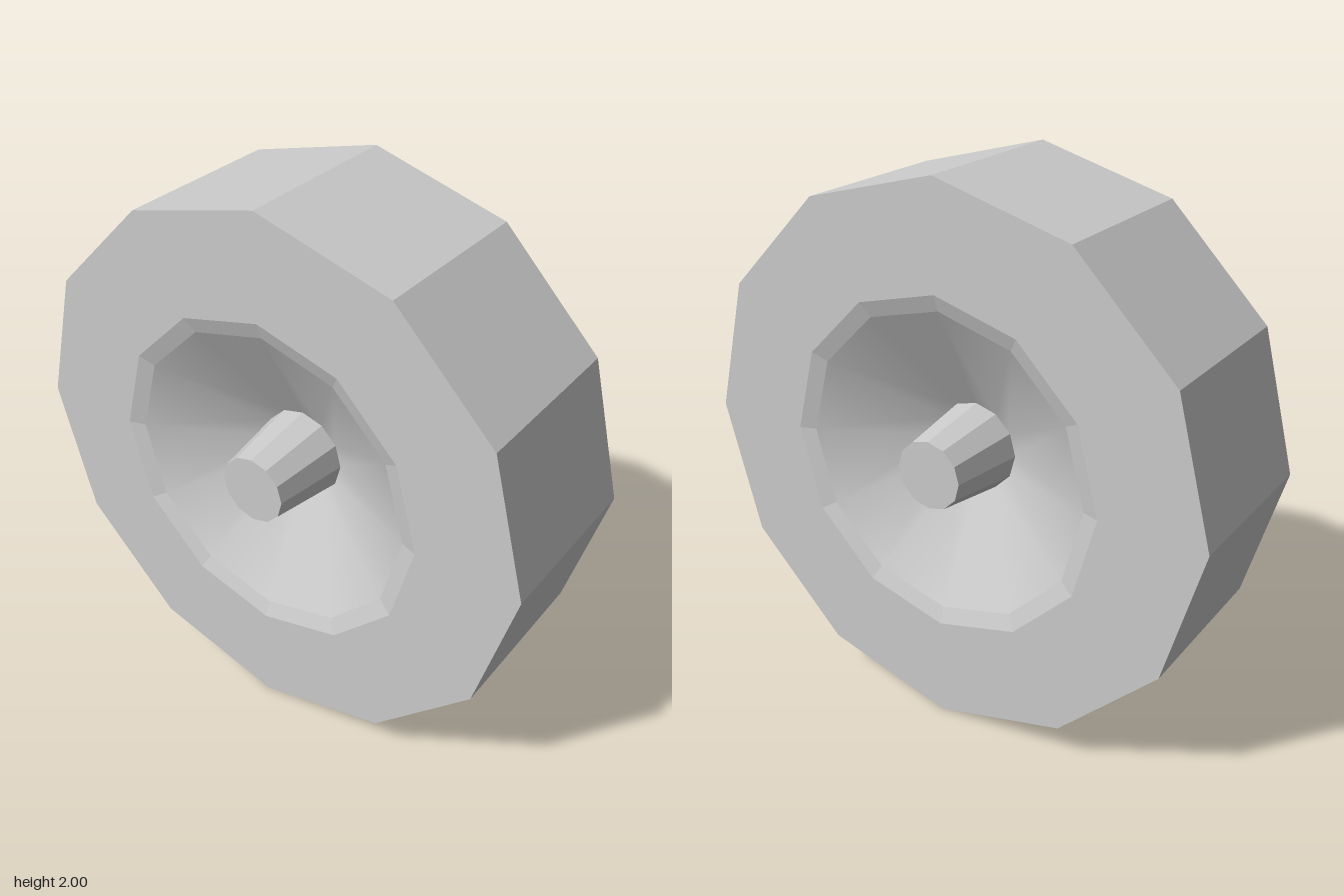
import * as THREE from 'three';

const SIDES = 12;

export function createModel() {
  const wheel = new THREE.Group();
  wheel.name = 'wheel';
  const flat = new THREE.MeshStandardMaterial({ color: 0xcccccc, flatShading: true });
  const smooth = new THREE.MeshStandardMaterial({ color: 0xcccccc });

  // Lathe a [radius, x] profile, then lay its axis along x
  const lathe = (name, profile, material) => {
    const points = profile.map(([r, x]) => new THREE.Vector2(r, x));
    const geometry = new THREE.LatheGeometry(points, SIDES).rotateZ(-Math.PI / 2);
    const mesh = new THREE.Mesh(geometry, material);
    mesh.name = name;
    return mesh;
  };

  // Faceted tyre with flat side walls and a shallow bevel into each dish
  wheel.add(lathe('tyre', [
    [0.56, -0.3], [0.62, -0.32], [1, -0.32], [1, 0.32], [0.62, 0.32], [0.56, 0.3],
  ], flat));

  // Sunken smooth dish and tapered axle stub, one per side
  for (const side of ['left', 'right']) {
    const half = new THREE.Group();
    half.name = side + 'Hub';
    half.add(lathe(side + 'Dish', [[0.56, 0.3], [0.15, 0.08]], smooth));

    const stub = new THREE.CylinderGeometry(0.125, 0.165, 0.3, SIDES)
      .translate(0, 0.22, 0).rotateZ(-Math.PI / 2);
    const axle = new THREE.Mesh(stub, flat);
    axle.name = side + 'Axle';
    half.add(axle);

    if (side === 'right') half.rotation.y = Math.PI;
    wheel.add(half);
  }

  wheel.position.y = 1;
  const model = new THREE.Group();
  model.add(wheel);
  return model;
}
